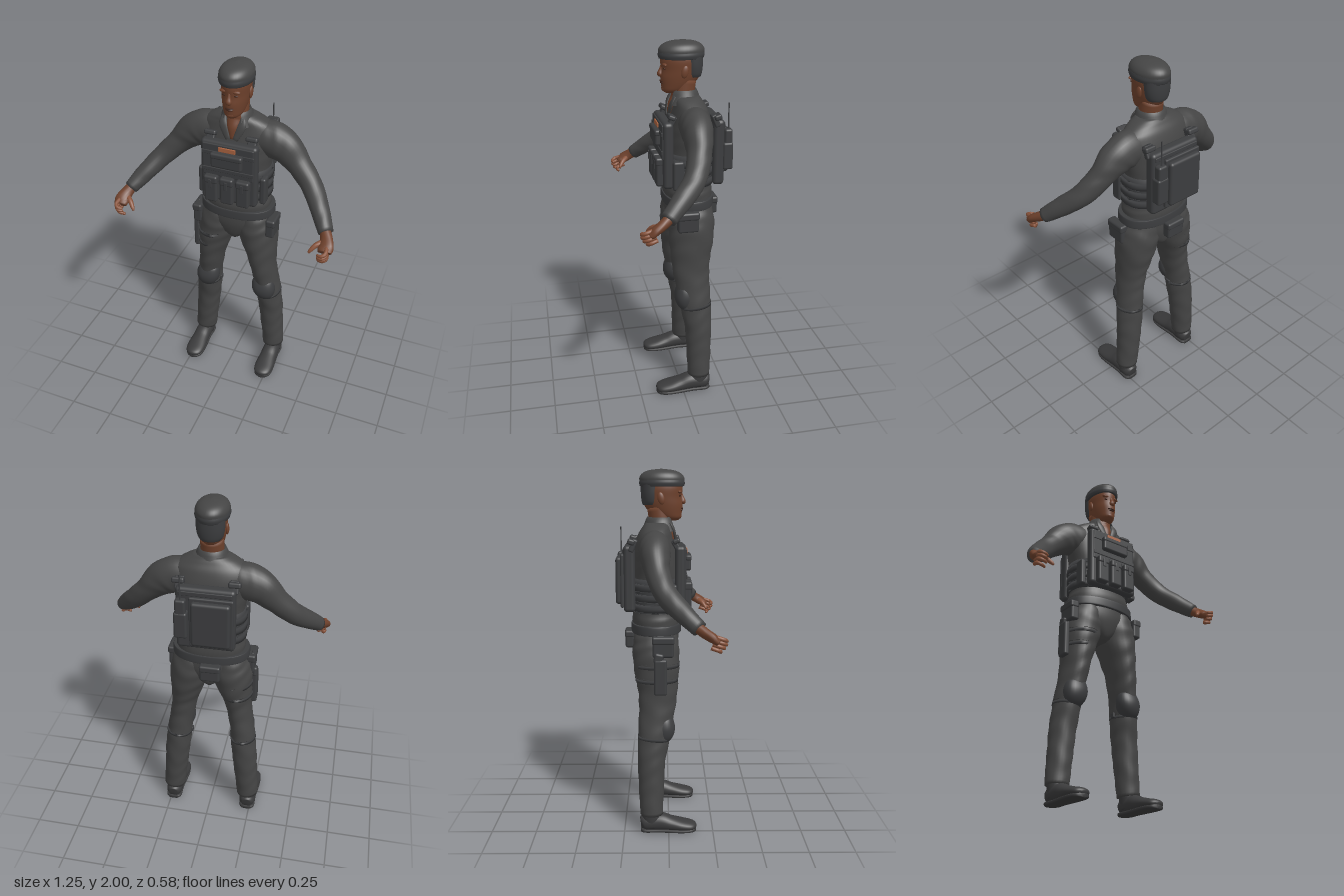
import * as THREE from 'three';
import { RoundedBoxGeometry } from 'three/addons/geometries/RoundedBoxGeometry.js';

const mat = (name, color, side = THREE.FrontSide) => {
  const m = new THREE.MeshStandardMaterial({ color, side });
  m.name = name;
  return m;
};

export function createModel() {
  const cloth = mat('grey cloth', 0x454545, THREE.DoubleSide);
  const gear = mat('dark gear', 0x3c3d3f);
  const leather = mat('boot leather', 0x3a3a3b);
  const skin = mat('skin', 0x6e412c);
  const palmSkin = mat('light skin', 0x87523a);
  const feature = mat('dark features', 0x3f241a);
  const patchTan = mat('tan patch', 0xa8623f);
  const model = new THREE.Group();
  model.name = 'uniformedFigure';

  const add = (name, geo, m, x = 0, y = 0, z = 0) => {
    const mesh = new THREE.Mesh(geo, m);
    mesh.name = name;
    mesh.position.set(x, y, z);
    model.add(mesh);
    return mesh;
  };

  // Smooth closed form through stations [x, y, z, radius across, radius deep]; level keeps its rings horizontal
  const limb = (name, m, pts, { ref = [0, 0, 1], e = 1, fold = 0, n = 28, m: per = 5, level = false } = {}) => {
    const path = new THREE.CatmullRomCurve3(pts.map(p => new THREE.Vector3(p[0], p[1], p[2])), false, 'catmullrom', 0.5);
    const radii = new THREE.CatmullRomCurve3(pts.map(p => new THREE.Vector3(p[3], p[4], 0)), false, 'catmullrom', 0.5);
    const R = new THREE.Vector3(...ref), pos = [], idx = [];
    const steps = (pts.length - 1) * per;
    const sq = v => Math.sign(v) * Math.abs(v) ** e;
    for (let k = -1; k <= steps + 1; k++) {
      const t = Math.min(1, Math.max(0, k / steps));
      const cap = k < 0 || k > steps ? 0 : 1;
      const c = path.getPoint(t), T = path.getTangent(t), r = radii.getPoint(t);
      if (level) T.set(0, Math.sign(T.y), 0);
      const U = new THREE.Vector3().crossVectors(T, R).normalize();
      const V = new THREE.Vector3().crossVectors(U, T);
      for (let j = 0; j < n; j++) {
        const a = j / n * Math.PI * 2;
        const f = cap * (1 + fold * Math.sin(t * pts.length * 5 + 2 * Math.sin(a * 2 + t * 9)));
        const u = sq(Math.cos(a)) * Math.max(r.x, 0.001) * f, v = sq(Math.sin(a)) * Math.max(r.y, 0.001) * f;
        pos.push(c.x + U.x * u + V.x * v, c.y + U.y * u + V.y * v, c.z + U.z * u + V.z * v);
      }
    }
    for (let i = 0; i < steps + 2; i++) for (let j = 0; j < n; j++) {
      const a = i * n + j, b = i * n + (j + 1) % n;
      idx.push(a, a + n, b, b, a + n, b + n);
    }
    const g = new THREE.BufferGeometry();
    g.setAttribute('position', new THREE.Float32BufferAttribute(pos, 3));
    g.setIndex(idx);
    g.computeVertexNormals();
    return add(name, g, m);
  };
  // Upright form from rows [y, centre z, half width, half depth]
  const tower = (name, m, rows, opt) =>
    limb(name, m, rows.map(([y, z, a, b]) => [0, y, z, a, b]), { level: true, ...opt });
  const box = (name, m, x, y, z, w, h, d, r = 0.012) =>
    add(name, new RoundedBoxGeometry(w, h, d, 3, Math.min(r, w / 2.1, h / 2.1, d / 2.1)), m, x, y, z);
  const ball = (name, m, x, y, z, a, b, c) => {
    const o = add(name, new THREE.SphereGeometry(1, 20, 14), m, x, y, z);
    o.scale.set(a, b, c);
    return o;
  };

  // Head
  tower('head', skin, [[1.727, 0.012, 0.026, 0.04], [1.742, 0.004, 0.046, 0.064], [1.77, -0.015, 0.058, 0.088],
    [1.81, -0.028, 0.067, 0.105], [1.85, -0.035, 0.072, 0.108], [1.9, -0.036, 0.075, 0.112], [1.95, -0.036, 0.066, 0.1]]);
  tower('hair', gear, [[1.81, -0.09, 0.056, 0.05], [1.83, -0.092, 0.066, 0.054], [1.87, -0.092, 0.073, 0.058],
    [1.93, -0.088, 0.075, 0.062]]);
  limb('neck', skin, [[0, 1.595, 0.03, 0.012, 0.012], [0, 1.65, 0, 0.042, 0.042], [0, 1.7, -0.037, 0.06, 0.06],
    [0, 1.8, -0.055, 0.06, 0.062]]);
  limb('nose', skin, [[0, 1.88, 0.062, 0.008, 0.01], [0, 1.85, 0.072, 0.01, 0.012], [0, 1.828, 0.078, 0.017, 0.016],
    [0, 1.816, 0.074, 0.012, 0.01]], { n: 14 });
  ball('upperLip', feature, 0, 1.791, 0.069, 0.024, 0.005, 0.012);
  ball('lowerLip', feature, 0, 1.782, 0.067, 0.021, 0.006, 0.012);
  ball('chin', skin, 0, 1.75, 0.052, 0.026, 0.018, 0.02);
  for (const s of [1, -1]) {
    ball('eye', feature, s * 0.03, 1.859, 0.061, 0.014, 0.005, 0.006);
    ball('brow', skin, s * 0.03, 1.879, 0.059, 0.026, 0.009, 0.013);
    ball('ear', skin, s * 0.074, 1.845, -0.04, 0.01, 0.033, 0.019).rotation.x = -0.2;
  }

  // Beret
  tower('beretBand', gear, [[1.908, -0.035, 0.086, 0.12], [1.925, -0.035, 0.09, 0.124], [1.942, -0.035, 0.087, 0.121]], { n: 36 });
  tower('beretCrown', cloth, [[1.93, -0.035, 0.087, 0.121], [1.955, -0.036, 0.086, 0.121], [1.978, -0.037, 0.072, 0.102],
    [1.993, -0.038, 0.045, 0.065], [2, -0.038, 0.004, 0.006]], { n: 36 });

  // Shirt body, collar and lapels
  tower('shirt', cloth, [[1.13, -0.07, 0.185, 0.125], [1.19, -0.068, 0.187, 0.134], [1.25, -0.07, 0.178, 0.126],
    [1.4, -0.07, 0.18, 0.128], [1.5, -0.073, 0.196, 0.122], [1.58, -0.077, 0.205, 0.112], [1.65, -0.074, 0.195, 0.093],
    [1.69, -0.065, 0.145, 0.078], [1.715, -0.06, 0.09, 0.066]], { e: 0.88, fold: 0.004, n: 40 });
  const collar = new THREE.LatheGeometry([[0.063, 1.74], [0.07, 1.745], [0.079, 1.725], [0.1, 1.67]]
    .map(p => new THREE.Vector2(...p)), 32, 0.6, Math.PI * 2 - 1.2);
  add('collar', collar, cloth, 0, 0, -0.047);
  for (const s of [1, -1])
    limb('lapel', cloth, [[s * 0.052, 1.715, 0.008, 0.014, 0.008], [s * 0.05, 1.67, 0.03, 0.022, 0.008],
      [s * 0.02, 1.6, 0.042, 0.014, 0.007]], { n: 16 });

  // Arms and hands
  for (const s of [1, -1]) {
    limb('sleeve', cloth, [[0.1, 1.592, -0.072, 0.09, 0.078], [0.185, 1.58, -0.074, 0.1, 0.085], [0.262, 1.547, -0.07, 0.092, 0.078],
      [0.34, 1.473, -0.057, 0.068, 0.064], [0.43, 1.382, -0.016, 0.057, 0.059], [0.505, 1.3, 0.068, 0.05, 0.052],
      [0.563, 1.23, 0.148, 0.039, 0.041]].map(p => [s * p[0], ...p.slice(1)]), { fold: 0.016, m: 7 });
    limb('hand', skin, [[0.555, 1.24, 0.135, 0.028, 0.028], [0.575, 1.212, 0.175, 0.034, 0.026], [0.585, 1.188, 0.215, 0.042, 0.024],
      [0.586, 1.17, 0.24, 0.036, 0.02]].map(p => [s * p[0], ...p.slice(1)]), { n: 18 });
    for (let i = 0; i < 4; i++) {
      const y = 1.197 - i * 0.018, z = 0.235 - i * 0.007, len = [0.9, 1, 0.95, 0.75][i];
      limb('finger', palmSkin, [[s * 0.592, y, z - 0.01, 0.011, 0.011], [s * 0.597, y - 0.012, z + 0.032 * len, 0.0105, 0.0105],
        [s * 0.58, y - 0.022, z + 0.05 * len, 0.0095, 0.0095], [s * 0.556, y - 0.026, z + 0.042 * len, 0.007, 0.007]],
      { ref: [0, 1, 0], n: 10, m: 4 });
    }
    limb('thumb', palmSkin, [[s * 0.57, 1.2, 0.185, 0.016, 0.016], [s * 0.535, 1.188, 0.215, 0.014, 0.014],
      [s * 0.513, 1.165, 0.235, 0.011, 0.011], [s * 0.503, 1.15, 0.243, 0.006, 0.006]], { n: 12 });
  }

  // Trousers, belt and boots
  tower('trouserSeat', cloth, [[1.15, -0.07, 0.19, 0.126], [1.07, -0.07, 0.2, 0.126], [1.01, -0.071, 0.15, 0.115],
    [0.965, -0.073, 0.075, 0.1], [0.94, -0.074, 0.03, 0.08]], { n: 36 });
  tower('belt', gear, [[1.118, -0.068, 0.207, 0.136], [1.122, -0.068, 0.213, 0.14], [1.164, -0.068, 0.211, 0.139],
    [1.168, -0.068, 0.203, 0.134]], { e: 0.88, n: 40 });
  for (const s of [1, -1]) {
    limb('trouserLeg', cloth, [[0.1, 1.13, -0.07, 0.085, 0.11], [0.108, 1.07, -0.07, 0.105, 0.125], [0.119, 1, -0.07, 0.114, 0.129],
      [0.139, 0.9, -0.065, 0.099, 0.122], [0.155, 0.8, -0.06, 0.079, 0.109], [0.169, 0.7, -0.065, 0.071, 0.1],
      [0.185, 0.6, -0.077, 0.07, 0.091], [0.195, 0.5, -0.087, 0.073, 0.085], [0.206, 0.4, -0.096, 0.073, 0.076],
      [0.214, 0.3, -0.097, 0.07, 0.072], [0.223, 0.2, -0.097, 0.067, 0.068], [0.231, 0.1, -0.096, 0.065, 0.063]]
      .map(p => [s * p[0], ...p.slice(1)]), { fold: 0.016, m: 6 });
    limb('bootShaft', leather, [[s * 0.231, 0.15, -0.098, 0.05, 0.053], [s * 0.233, 0.08, -0.095, 0.05, 0.056],
      [s * 0.234, 0.03, -0.09, 0.046, 0.06]]);
    limb('boot', leather, [[-0.155, 0.045, 0.028, 0.035], [-0.13, 0.05, 0.046, 0.045], [-0.05, 0.055, 0.05, 0.05],
      [0.01, 0.045, 0.052, 0.04], [0.07, 0.037, 0.057, 0.031], [0.12, 0.031, 0.052, 0.025], [0.145, 0.027, 0.037, 0.019],
      [0.156, 0.024, 0.012, 0.008]].map(([z, y, a, b]) => [s * 0.234, y, z, a, b]), { ref: [0, 1, 0], e: 0.95 });
    limb('sole', leather, [[-0.157, 0.03], [-0.13, 0.047], [-0.05, 0.046], [0.05, 0.055], [0.11, 0.053], [0.142, 0.038], [0.155, 0.012]]
      .map(([z, a]) => [s * 0.234, 0.011, z, a, 0.011]), { ref: [0, 1, 0], e: 0.55 });

    // Knee pad with its strap
    limb('kneePad', gear, [[0.172, 0.665, -0.022, 0.03, 0.025], [0.174, 0.652, -0.022, 0.058, 0.042], [0.178, 0.605, -0.022, 0.07, 0.057],
      [0.182, 0.56, -0.026, 0.063, 0.056], [0.186, 0.525, -0.032, 0.042, 0.04], [0.187, 0.515, -0.035, 0.015, 0.02]]
      .map(p => [s * p[0], ...p.slice(1)]), { e: 0.9, level: true });
    limb('kneeStrap', gear, [[s * 0.191, 0.55, -0.083, 0.074, 0.09], [s * 0.193, 0.53, -0.085, 0.075, 0.088]], { m: 2 });
    box('kneeStrapClip', gear, s * 0.117, 0.54, -0.08, 0.014, 0.028, 0.03, 0.004);

    // Hip pouch with flap
    box('hipPouch', gear, s * 0.217, 1.063, -0.03, 0.05, 0.112, 0.115);
    box('hipPouchFlap', gear, s * 0.22, 1.1, -0.03, 0.054, 0.044, 0.122);
  }
  box('rearPouch', gear, -0.02, 1.075, -0.215, 0.11, 0.095, 0.05);
  box('rearPouchFlap', gear, -0.02, 1.105, -0.217, 0.116, 0.04, 0.054);

  // Thigh holster on the right leg
  box('holster', gear, -0.243, 0.9, -0.045, 0.034, 0.2, 0.07);
  box('holsterGrip', gear, -0.245, 1.005, -0.055, 0.026, 0.055, 0.05).rotation.x = 0.2;
  box('holsterHanger', gear, -0.228, 1.06, -0.045, 0.014, 0.13, 0.04, 0.005);
  for (const [y, x, a, b] of [[0.95, 0.13, 0.108, 0.128], [0.87, 0.145, 0.095, 0.12]])
    limb('thighStrap', gear, [[-x, y + 0.012, -0.066, a + 0.002, b], [-x - 0.003, y - 0.012, -0.066, a - 0.002, b - 0.002]],
      { m: 2, level: true });

  // Vest wrap and its webbing
  tower('vestWrap', gear, [[1.235, -0.07, 0.183, 0.129], [1.42, -0.07, 0.186, 0.131]], { e: 0.85, n: 40 });
  for (const y of [1.262, 1.318, 1.374])
    tower('sideWebbing', gear, [[y - 0.02, -0.07, 0.189, 0.133], [y - 0.018, -0.07, 0.193, 0.136],
      [y + 0.018, -0.07, 0.193, 0.136], [y + 0.02, -0.07, 0.189, 0.133]], { e: 0.85, n: 40, m: 2 });

  // Front plate and pouches
  box('frontPlate', gear, 0, 1.415, 0.063, 0.315, 0.365, 0.055, 0.02);
  box('frontPanel', gear, 0, 1.49, 0.09, 0.285, 0.19, 0.014, 0.006);
  for (const y of [1.435, 1.535]) box('frontWebbing', gear, 0, y, 0.097, 0.29, 0.022, 0.008, 0.003);
  box('chestPatch', patchTan, -0.003, 1.562, 0.1, 0.095, 0.026, 0.008, 0.003);
  box('chestPouch', gear, -0.002, 1.502, 0.104, 0.172, 0.085, 0.038);
  box('chestPouchFlap', gear, -0.002, 1.528, 0.107, 0.178, 0.034, 0.038);
  for (const x of [-0.09, 0, 0.09]) {
    box('magazinePouch', gear, x, 1.32, 0.102, 0.072, 0.155, 0.046);
    box('magazineFlap', gear, x, 1.38, 0.106, 0.076, 0.045, 0.046);
    box('magazineTab', gear, x, 1.36, 0.129, 0.018, 0.05, 0.006, 0.002);
  }
  for (const s of [1, -1]) {
    box('sidePouch', gear, s * 0.176, 1.315, 0.015, 0.034, 0.16, 0.06);
    box('frontStrap', gear, s * 0.115, 1.605, 0.037, 0.05, 0.05, 0.03, 0.008).rotation.x = -0.5;
    box('frontStrapBuckle', gear, s * 0.115, 1.622, 0.042, 0.066, 0.026, 0.04, 0.01).rotation.x = -0.4;
    box('rearStrap', gear, s * 0.14, 1.6, -0.19, 0.05, 0.07, 0.03, 0.008).rotation.x = 0.4;
    box('rearStrapBuckle', gear, s * 0.145, 1.62, -0.2, 0.066, 0.03, 0.04, 0.01).rotation.x = 0.3;
  }

  // Back plate, pack and radio
  box('backPlate', gear, 0, 1.42, -0.212, 0.31, 0.36, 0.062, 0.02);
  box('backPanel', gear, -0.033, 1.41, -0.25, 0.23, 0.29, 0.02, 0.008);
  box('backPack', gear, -0.033, 1.41, -0.266, 0.205, 0.255, 0.042, 0.016);
  box('backPackTopBand', gear, 0, 1.57, -0.243, 0.28, 0.024, 0.01, 0.004);
  box('radioPouch', gear, 0.122, 1.4, -0.262, 0.07, 0.15, 0.056);
  box('radio', gear, 0.122, 1.465, -0.265, 0.056, 0.165, 0.044);
  add('antenna', new THREE.CylinderGeometry(0.0035, 0.0045, 0.16, 10), gear, 0.122, 1.605, -0.268);

  return model;
}
